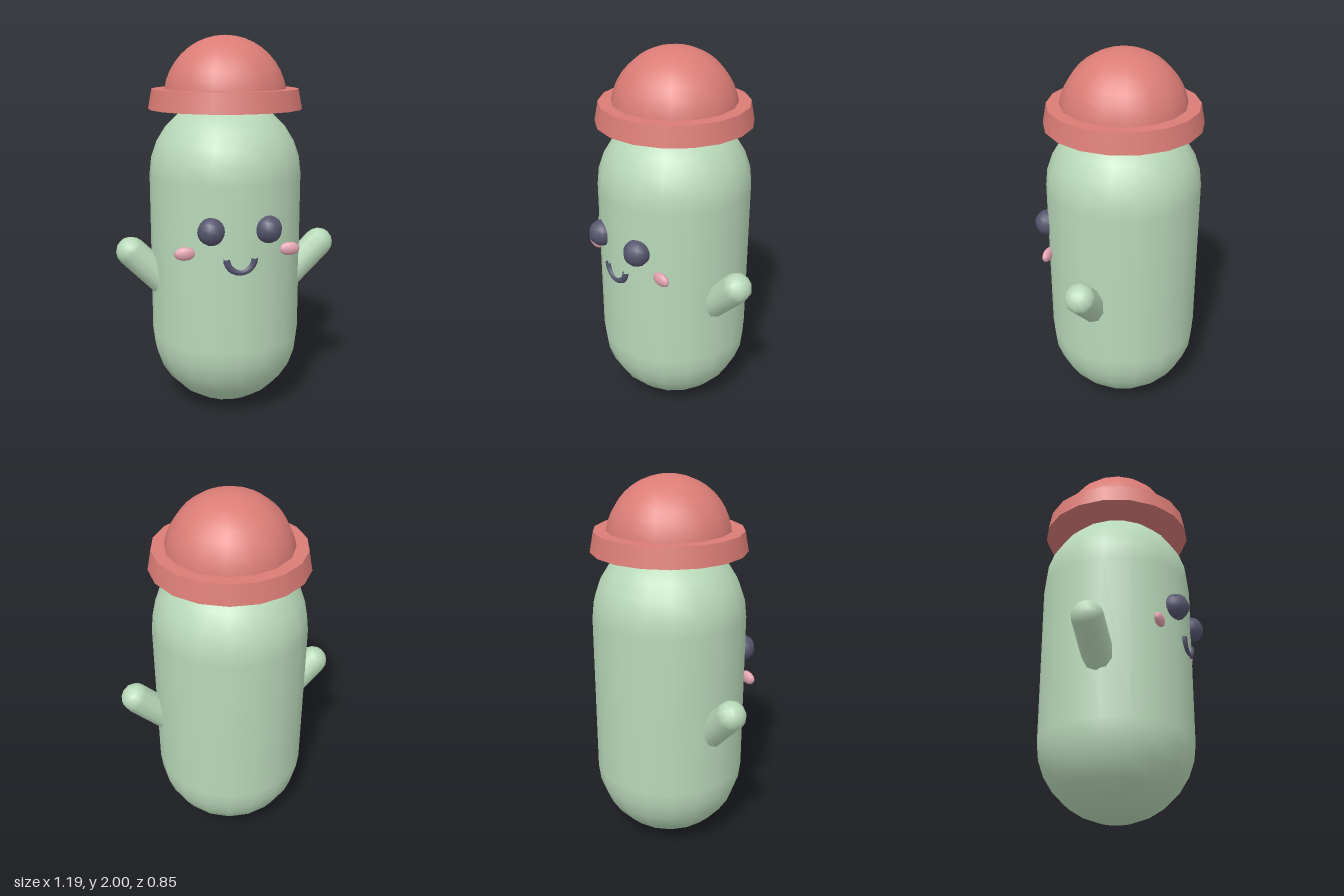
import * as THREE from 'three';

const mat = (name, color, extra = {}) => {
  const m = new THREE.MeshStandardMaterial({ color, ...extra });
  m.name = name;
  return m;
};

export function createModel() {
  const green = mat('pale green', 0xb8d8b8);
  const red = mat('coral red', 0xdb7c76);
  const dark = mat('dark slate', 0x55556e, { side: THREE.DoubleSide });
  const pink = mat('blush pink', 0xe3a4b1);

  const model = new THREE.Group();
  model.name = 'cactus';
  const add = (name, geometry, material, x, y, z) => {
    const mesh = new THREE.Mesh(geometry, material);
    mesh.name = name;
    mesh.position.set(x, y, z);
    model.add(mesh);
    return mesh;
  };

  const axisZ = -0.02; // body and hat axis
  const R = 0.405;

  // Body: pill profile turned around the upright axis
  const low = 0.41, high = 1.28, steps = 7;
  const profile = [];
  for (let i = 0; i <= steps; i++) {
    const a = (i / steps) * Math.PI / 2;
    profile.push(new THREE.Vector2(R * Math.sin(a), low - R * Math.cos(a)));
  }
  for (let i = steps; i >= 0; i--) {
    const a = (i / steps) * Math.PI / 2;
    profile.push(new THREE.Vector2(R * Math.sin(a), high + R * Math.cos(a)));
  }
  add('body', new THREE.LatheGeometry(profile, 18), green, 0, 0, axisZ);

  // Hat: tapered brim and dome
  add('hatBrim', new THREE.CylinderGeometry(0.385, R, 0.103, 18), red, 0, 1.6775, axisZ);
  add('hatDome', new THREE.SphereGeometry(0.325, 16, 10, 0, Math.PI * 2, 0, Math.PI / 2),
    red, 0, 1.675, axisZ);

  // Smile: lower half ring
  const smile = new THREE.TorusGeometry(0.072, 0.017, 8, 12, Math.PI).rotateZ(Math.PI);
  add('mouth', smile, dark, 0, 0.915, 0.376);

  // Mirrored parts
  for (const [side, s] of [['left', 1], ['right', -1]]) {
    add(side + 'Eye', new THREE.SphereGeometry(0.07, 10, 10), dark, s * 0.145, 1.055, 0.358);

    const cheek = add(side + 'Cheek', new THREE.SphereGeometry(1, 10, 8), pink, s * 0.27, 0.935, 0.307);
    cheek.scale.set(0.055, 0.035, 0.023);

    const arm = add(side + 'Arm', new THREE.CapsuleGeometry(0.08, 0.3, 4, 10), green, s * 0.41, 0.778, 0.022);
    arm.rotation.z = -s * Math.PI / 4;
  }

  return model;
}
